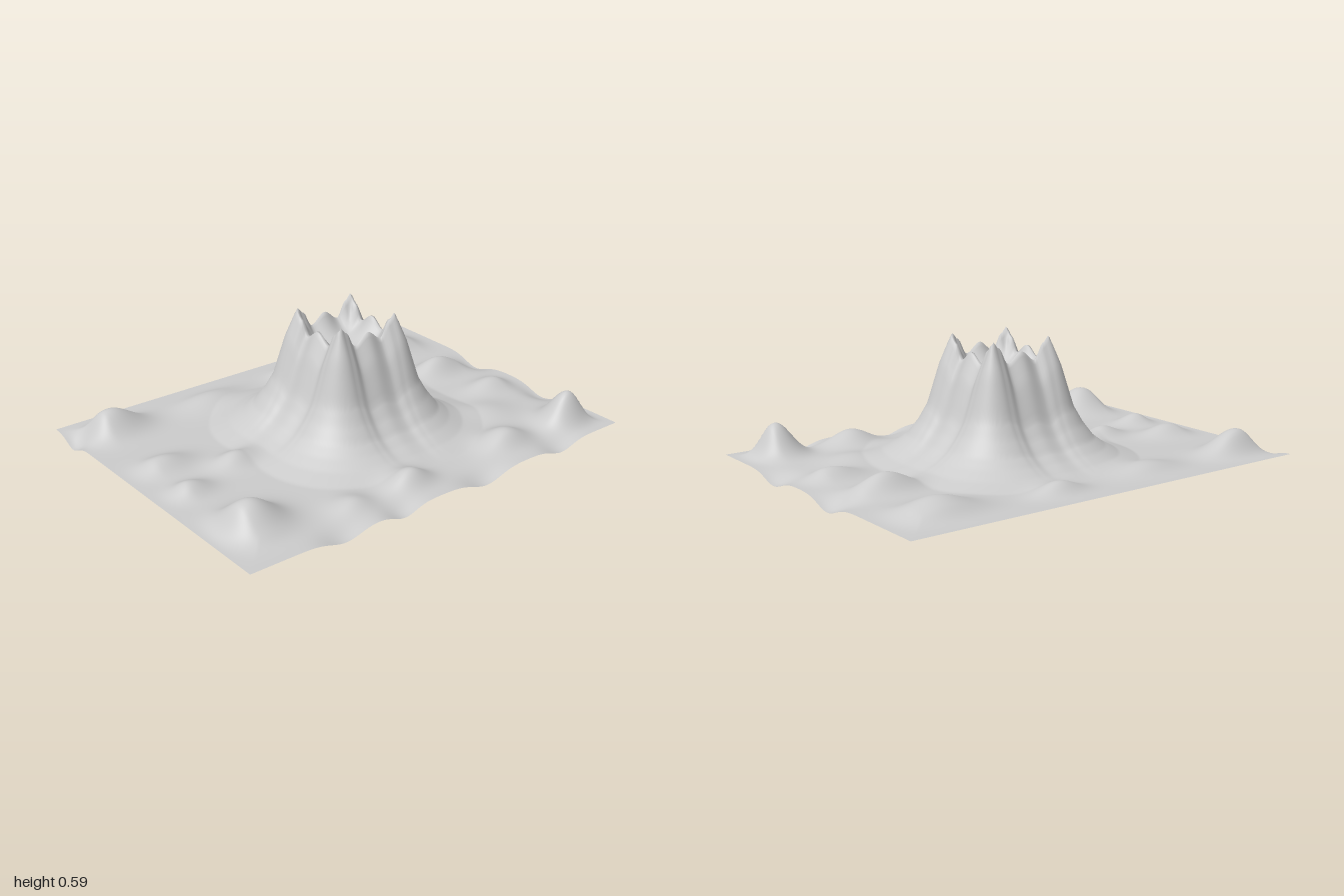
import * as THREE from 'three';

const BASE = 0.045, CX = 0.045, RIM = 0.15;

// Low hills: x, z, height, radius in x, radius in z
const hills = [
  [0.83, 0.6, 0.15, 0.1, 0.1], [-0.81, 0.47, 0.12, 0.14, 0.12], [-0.1, 0.6, 0.07, 0.1, 0.09],
  [0.46, 0.58, 0.07, 0.12, 0.1], [-0.4, 0.6, 0.035, 0.09, 0.09], [0.82, 0.13, 0.05, 0.13, 0.08],
  [0.74, -0.16, 0.08, 0.14, 0.08], [0.74, -0.53, 0.07, 0.17, 0.12], [-0.82, -0.58, 0.11, 0.15, 0.1],
  [-0.55, 0, 0.05, 0.1, 0.07], [-0.85, 0.1, 0.05, 0.1, 0.07], [-0.82, -0.15, 0.05, 0.13, 0.08],
  [0.2, -0.6, 0.05, 0.11, 0.08], [-0.3, -0.56, 0.04, 0.16, 0.1], [0.6, 0.32, 0.03, 0.14, 0.12],
];

// Small hollows along the borders
const hollows = [
  [-0.55, 0.75, -0.035, 0.1, 0.08], [-0.25, 0.75, -0.035, 0.08, 0.08], [0.2, 0.75, -0.043, 0.11, 0.08],
  [0.65, 0.75, -0.035, 0.09, 0.08], [1, 0.3, -0.04, 0.08, 0.1], [1, -0.15, -0.043, 0.08, 0.1],
  [-1, -0.6, -0.04, 0.08, 0.07],
];

const sumBumps = (list, x, z) => list.reduce((s, [cx, cz, h, rx, rz]) =>
  s + h * Math.exp(-(((x - cx) / rx) ** 2) - ((z - cz) / rz) ** 2), 0);

// Eased interpolation through [position, value] pairs
function sample(table, t, ease) {
  for (let i = 1; i < table.length; i++) {
    const [a, va] = table[i - 1], [b, vb] = table[i];
    if (t <= b) {
      const k = (t - a) / (b - a);
      return THREE.MathUtils.lerp(va, vb, ease ? k * k * (3 - 2 * k) : k);
    }
  }
  return table[table.length - 1][1];
}

// Jagged rim height along one side, and flank falloff away from the rim
const rimTable = [[0, 0.535], [0.072, 0.49], [0.118, 0.56], [0.15, 0.59]];
const flankTable = [[0, 1], [0.055, 0.76], [0.11, 0.43], [0.15, 0.3], [0.2, 0.18],
  [0.25, 0.11], [0.31, 0.05], [0.4, 0]];

function volcano(x, z) {
  const u = Math.abs(x - CX), v = Math.abs(z);
  const rim = sample(rimTable, Math.min(u, v, RIM), true) - BASE;
  const d = Math.hypot(Math.max(u - RIM, 0), Math.max(v - RIM, 0));
  if (d > 0) return rim * sample(flankTable, d, false);
  // Crater floor rising to the rim
  const w = Math.max(u, v) / RIM;
  return THREE.MathUtils.lerp(0.42 - BASE, rim, w ** 2.5);
}

function heightAt(x, z) {
  const edge = Math.min(1 - Math.abs(x), 0.75 - Math.abs(z));
  const fade = THREE.MathUtils.smoothstep(edge, 0, 0.15);
  const cone = volcano(x, z);
  const clear = 1 - Math.min(1, cone / 0.15);
  return Math.max(0, BASE + cone + sumBumps(hills, x, z) * fade * clear + sumBumps(hollows, x, z));
}

export function createModel() {
  const group = new THREE.Group();
  group.name = 'volcanoLandscape';

  // Terrain sheet raised by the height rule
  const geometry = new THREE.PlaneGeometry(2, 1.5, 200, 150).rotateX(-Math.PI / 2);
  const p = geometry.attributes.position;
  for (let i = 0; i < p.count; i++) p.setY(i, heightAt(p.getX(i), p.getZ(i)));
  geometry.computeVertexNormals();

  const terrain = new THREE.Mesh(geometry,
    new THREE.MeshStandardMaterial({ color: 0xcccccc, side: THREE.DoubleSide }));
  terrain.name = 'terrain';
  group.add(terrain);
  return group;
}
